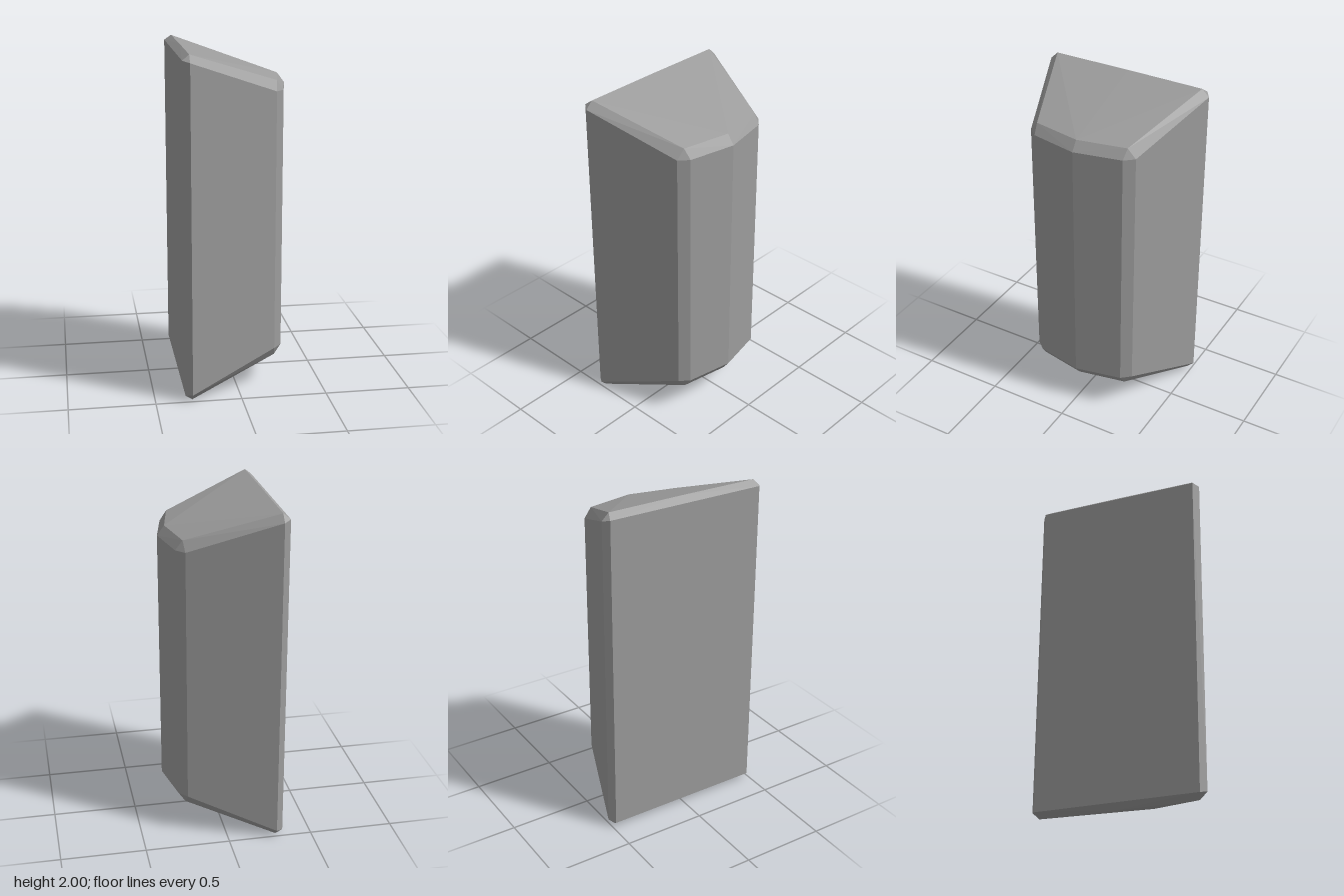
import * as THREE from 'three';
import { ConvexGeometry } from 'three/addons/geometries/ConvexGeometry.js';

// Corners of one quarter as [x, height above the middle, z]
const QUARTER = [
  // back face and its bevel
  [-0.327, 0.967, 0.484],
  [-0.287, 0.956, 0.513],
  // side face and front corner bevel
  [0.22, 0.765, 0.335],
  [0.268, 0.765, 0.28],
  // front ridge
  [0.326, 0.765, 0],
  // sloping end cap with a faint centre ridge
  [-0.287, 0.998, 0.47],
  [-0.287, 1, 0],
  [0.227, 0.822, 0.288],
  [0.284, 0.822, 0],
];

export function createModel() {
  const model = new THREE.Group();
  model.name = 'bevelledBlock';

  const stone = new THREE.MeshStandardMaterial({ color: 0x9c9c9c });
  stone.name = 'grey stone';

  // Mirror the quarter top to bottom and side to side
  const points = [];
  for (const [x, h, z] of QUARTER) {
    for (const up of [1, -1]) {
      for (const side of z === 0 ? [1] : [1, -1]) {
        points.push(new THREE.Vector3(x, 1 + up * h, side * z));
      }
    }
  }

  // Solid faceted body
  const body = new THREE.Mesh(new ConvexGeometry(points), stone);
  body.name = 'body';
  model.add(body);
  return model;
}
